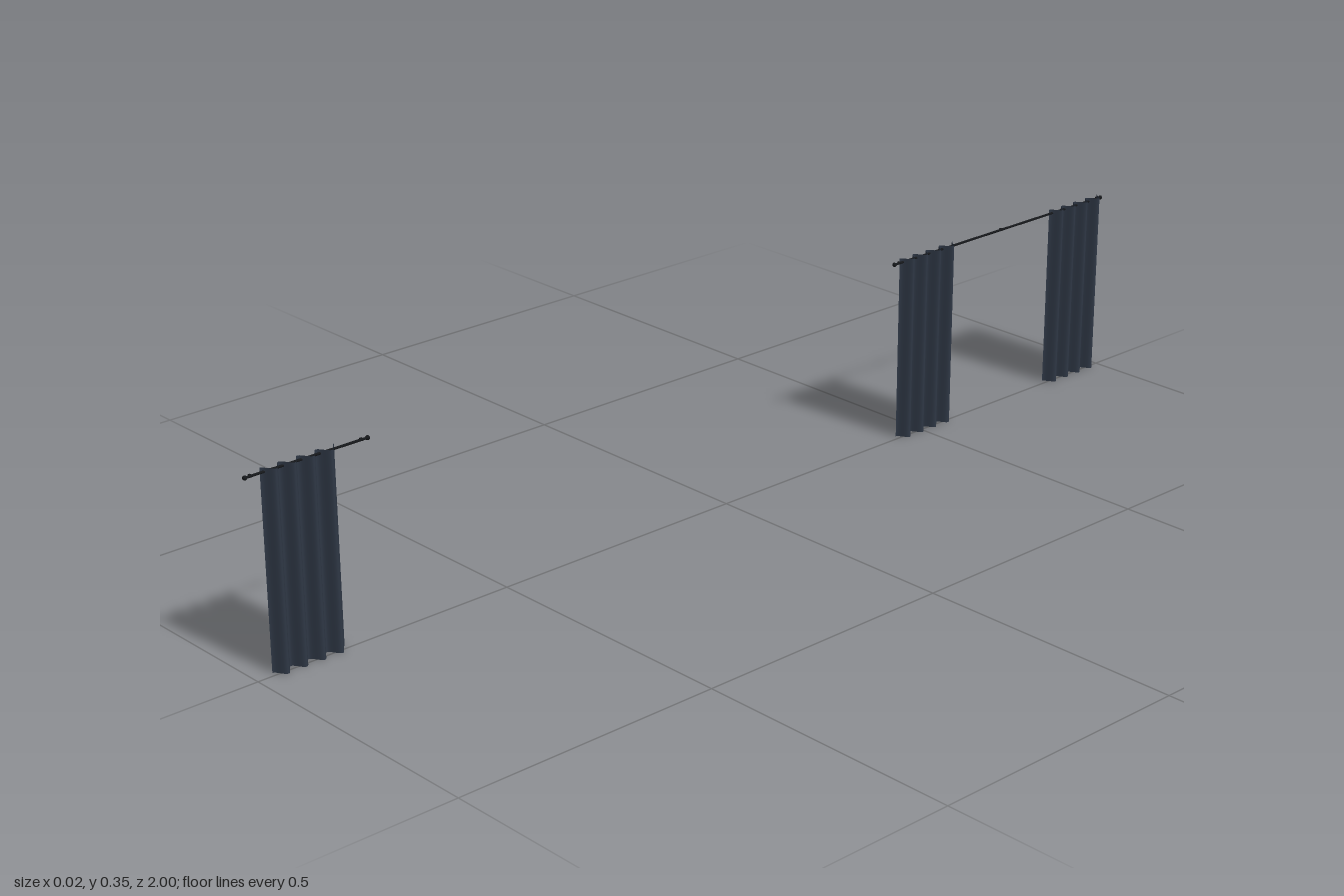
import * as THREE from 'three';

const HEIGHT = 0.35, DEPTH = 0.0098, FOLDS = 4, ROD_X = -0.0065, ROD_Y = 0.343;

// Thin pleated sheet: a plane whose vertices are pushed into waves
function pleatedSheet(length) {
  const g = new THREE.PlaneGeometry(length, HEIGHT, FOLDS * 12, 1);
  g.rotateY(Math.PI / 2);
  const p = g.attributes.position;
  for (let i = 0; i < p.count; i++) {
    const t = 0.5 - p.getZ(i) / length;
    p.setX(i, -DEPTH * Math.cos(t * FOLDS * Math.PI * 2));
  }
  g.computeVertexNormals();
  return g;
}

export function createModel() {
  const fabric = new THREE.MeshStandardMaterial({ color: 0x2f3846, side: THREE.DoubleSide });
  fabric.name = 'slate fabric';
  const metal = new THREE.MeshStandardMaterial({ color: 0x15171a });
  metal.name = 'black metal';

  const model = new THREE.Group();
  model.name = 'curtains';
  const add = (name, geometry, material, x, y, z) => {
    const mesh = new THREE.Mesh(geometry, material);
    mesh.name = name;
    mesh.position.set(x, y, z);
    model.add(mesh);
  };

  // Curtain panels
  const sheet = pleatedSheet(0.14);
  [0.896, -0.511, -0.921].forEach((z) => add('curtainPanel', sheet, fabric, 0, HEIGHT / 2, z));

  // Rods, with end knobs and wall brackets
  const knob = new THREE.SphereGeometry(0.004, 12, 8);
  const bracket = new THREE.BoxGeometry(0.006, 0.004, 0.004);
  const rods = [
    { from: 0.764, to: 0.996, brackets: [0.775, 0.985] },
    { from: -0.996, to: -0.424, brackets: [-0.988, -0.713, -0.438] },
  ];
  for (const { from, to, brackets } of rods) {
    const rod = new THREE.CylinderGeometry(0.0022, 0.0022, to - from, 10);
    rod.rotateX(Math.PI / 2);
    add('curtainRod', rod, metal, ROD_X, ROD_Y, (from + to) / 2);
    for (const z of [from, to]) add('rodKnob', knob, metal, ROD_X, ROD_Y, z);
    for (const z of brackets) add('rodBracket', bracket, metal, ROD_X - 0.0015, ROD_Y, z);
  }
  return model;
}
